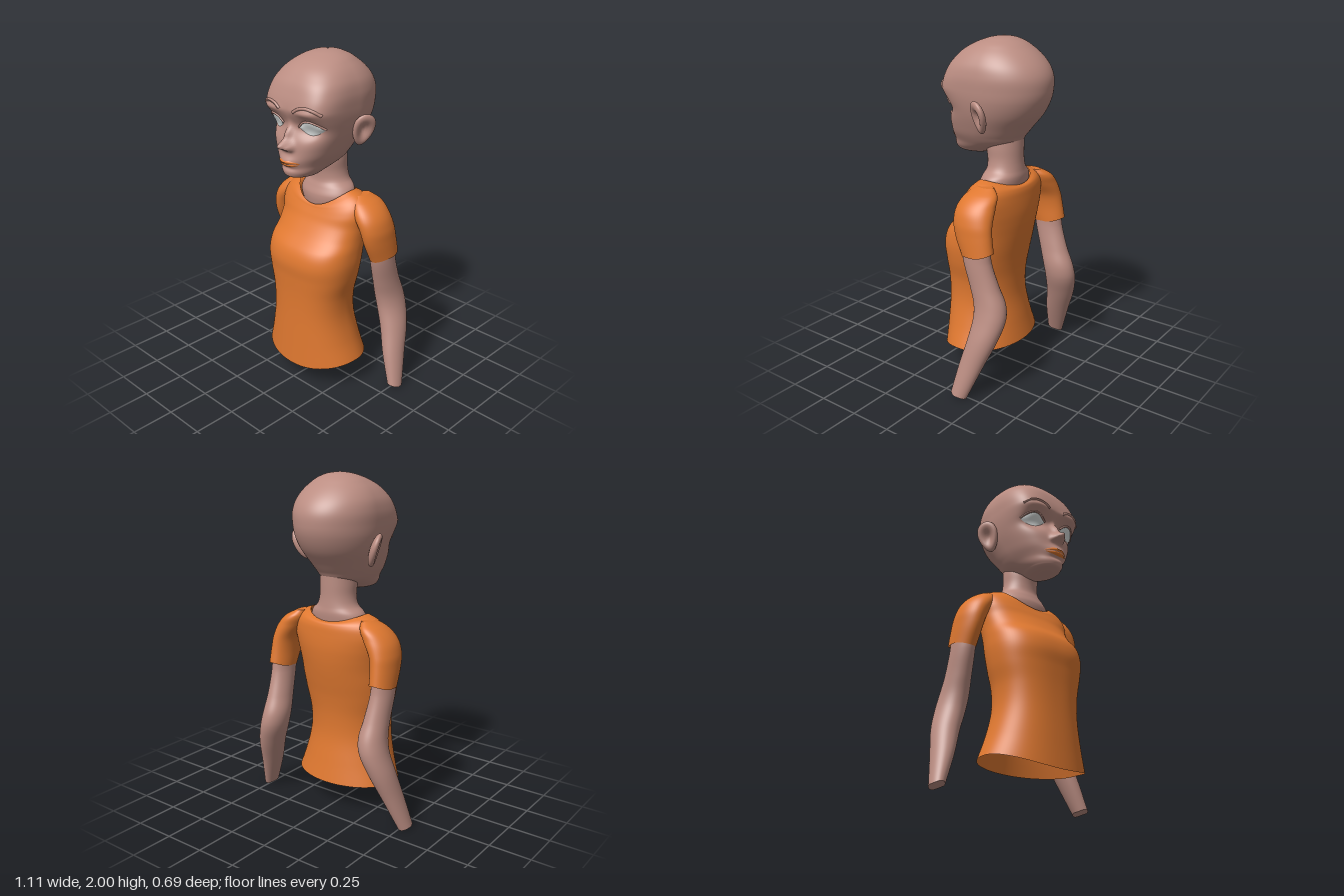
import * as THREE from 'three';

const skin = new THREE.MeshStandardMaterial({ color: 0xbb8d82 });
skin.name = 'skin';
const orange = new THREE.MeshStandardMaterial({ color: 0xdf7830, side: THREE.DoubleSide });
orange.name = 'orange cloth';
const white = new THREE.MeshStandardMaterial({ color: 0xdfe3e2 });
white.name = 'eye white';

// Section rows: [y, centre x, half width, front z, back z, front squareness, front drop, back drop]
const HEAD = [
  [1.32, 0, 0.035, 0.22, 0.10, 2, 0, 0], [1.33, 0, 0.075, 0.255, 0.05, 2, 0, 0],
  [1.35, 0, 0.10, 0.272, 0, 2.1, 0, 0], [1.40, 0, 0.14, 0.27, -0.14, 2.2, 0, 0],
  [1.45, 0, 0.172, 0.272, -0.185, 2.4, 0, 0], [1.50, 0, 0.195, 0.268, -0.225, 2.6, 0, 0],
  [1.58, 0, 0.225, 0.26, -0.29, 3, 0, 0], [1.66, 0, 0.244, 0.262, -0.33, 3.6, 0, 0],
  [1.72, 0, 0.25, 0.27, -0.343, 4, 0, 0], [1.80, 0, 0.249, 0.25, -0.337, 3.6, 0, 0],
  [1.87, 0, 0.228, 0.215, -0.295, 3, 0, 0], [1.94, 0, 0.17, 0.145, -0.215, 2.4, 0, 0],
  [1.98, 0, 0.105, 0.06, -0.145, 2, 0, 0], [1.995, 0, 0.05, 0, -0.095, 2, 0, 0],
  [2.0, 0, 0.003, -0.044, -0.05, 2, 0, 0],
];
const NECK = [
  [1.09, 0, 0.16, 0.06, -0.16, 2, 0, 0], [1.17, 0, 0.183, 0.066, -0.174, 2, 0, 0],
  [1.215, 0, 0.165, 0.05, -0.178, 2, 0, 0], [1.25, 0, 0.127, 0.038, -0.174, 2, 0, 0],
  [1.30, 0, 0.109, 0.038, -0.17, 2, 0, 0], [1.38, 0, 0.107, 0.05, -0.17, 2, 0, 0],
  [1.50, 0, 0.10, 0.03, -0.17, 2, 0, 0],
];
const SHIRT = [
  [0.175, 0, 0.33, 0.27, -0.2, 2.2, 0.06, 0], [0.30, 0, 0.288, 0.265, -0.175, 2.3, 0.03, 0],
  [0.45, 0, 0.256, 0.26, -0.15, 2.4, 0, 0], [0.58, 0, 0.258, 0.26, -0.15, 2.5, 0, 0],
  [0.70, 0, 0.285, 0.265, -0.165, 2.5, 0, 0], [0.80, 0, 0.298, 0.27, -0.185, 2.5, 0, 0],
  [0.88, 0, 0.297, 0.245, -0.2, 2.5, 0, 0], [0.95, 0, 0.295, 0.185, -0.21, 2.4, 0, 0],
  [1.02, 0, 0.30, 0.135, -0.215, 2.4, 0, 0], [1.10, 0, 0.31, 0.108, -0.212, 2.4, 0.03, 0],
  [1.17, 0, 0.28, 0.092, -0.205, 2.3, 0.07, 0.02], [1.20, 0, 0.235, 0.086, -0.195, 2.2, 0.088, 0.035],
  [1.215, 0, 0.19, 0.08, -0.18, 2, 0.097, 0.045],
];
const SLEEVE = [
  [0.84, 0.368, 0.067, -0.04, -0.24, 2, 0.02, -0.025], [0.95, 0.362, 0.07, 0.012, -0.225, 2, 0.01, -0.01],
  [1.02, 0.35, 0.076, 0.03, -0.217, 2, 0, 0], [1.10, 0.31, 0.085, 0.03, -0.206, 2, 0, 0],
  [1.16, 0.268, 0.065, 0, -0.19, 2, 0, 0], [1.195, 0.235, 0.03, -0.04, -0.15, 2, 0, 0],
];
const ARM = [
  [0.015, 0.515, 0.04, -0.06, -0.16, 2, -0.015, 0.015], [0.20, 0.457, 0.06, -0.083, -0.235, 2, 0, 0],
  [0.36, 0.41, 0.075, -0.115, -0.297, 2, 0, 0], [0.48, 0.371, 0.08, -0.125, -0.324, 2, 0, 0],
  [0.56, 0.358, 0.077, -0.115, -0.314, 2, 0, 0], [0.66, 0.36, 0.068, -0.088, -0.272, 2, 0, 0],
  [0.80, 0.367, 0.062, -0.048, -0.226, 2, 0, 0], [0.88, 0.366, 0.06, -0.035, -0.215, 2, 0, 0],
  [1.0, 0.352, 0.055, -0.01, -0.19, 2, 0, 0],
];

const sections = (rows) => {
  const f = new THREE.CubicInterpolant(rows.map((r) => r[0]), rows.flat(), 8);
  return (y) => Array.from(f.evaluate(y));
};

// Smooth skin through the sections, with optional end caps and a bump rule for the front
function loft(rows, { seg = 64, sub = 6, bottom = false, top = false, bump = null } = {}) {
  const at = sections(rows), pos = [], idx = [], levels = [];
  rows.forEach((r, i) => {
    if (i === rows.length - 1) return levels.push(r[0]);
    for (let k = 0; k < sub; k++) levels.push(r[0] + (rows[i + 1][0] - r[0]) * k / sub);
  });
  for (const level of levels) {
    const [y, cx, rx, zf, zb, n, df, db] = at(level);
    const c = (zf + zb) / 2, rz = (zf - zb) / 2;
    for (let j = 0; j < seg; j++) {
      const a = j / seg * Math.PI * 2, co = Math.cos(a), si = Math.sin(a);
      const p = si > 0 ? n : 2;
      const r = (Math.abs(co) ** p + Math.abs(si) ** p) ** (-1 / p);
      const x = cx + rx * r * co;
      let z = c + rz * r * si;
      if (bump && si > 0) z += bump(x, y) * Math.min(1, 2 * r * si);
      pos.push(x, y - (si > 0 ? df : db) * si * si, z);
    }
  }
  for (let i = 0; i < levels.length - 1; i++) {
    for (let j = 0; j < seg; j++) {
      const a = i * seg + j, b = i * seg + (j + 1) % seg, c = a + seg, d = b + seg;
      idx.push(a, c, b, b, c, d);
    }
  }
  const cap = (row, up) => {
    const start = pos.length / 3, mid = [0, 0, 0];
    for (let j = 0; j < seg; j++) {
      for (let k = 0; k < 3; k++) {
        const v = pos[(row * seg + j) * 3 + k];
        pos.push(v);
        mid[k] += v / seg;
      }
    }
    pos.push(...mid);
    for (let j = 0; j < seg; j++) {
      const p = start + j, q = start + (j + 1) % seg;
      idx.push(start + seg, up ? q : p, up ? p : q);
    }
  };
  if (bottom) cap(0, false);
  if (top) cap(levels.length - 1, true);
  return finish(pos, idx);
}

function finish(pos, idx) {
  const g = new THREE.BufferGeometry();
  g.setAttribute('position', new THREE.Float32BufferAttribute(pos, 3));
  g.setIndex(idx);
  g.computeVertexNormals();
  return g;
}

function mirror(geo) {
  const g = geo.clone().scale(-1, 1, 1), ix = g.index.array;
  for (let i = 0; i < ix.length; i += 3) [ix[i], ix[i + 1]] = [ix[i + 1], ix[i]];
  g.computeVertexNormals();
  return g;
}

// Face relief: sockets, brow, nose, lips
const hill = (x, y, cx, cy, sx, sy) => Math.exp(-(((x - cx) / sx) ** 2) - ((y - cy) / sy) ** 2);
function face(x, y) {
  const ax = Math.abs(x);
  return 0.07 * hill(x, y, 0, 1.52, 0.034, 0.027) + 0.03 * hill(x, y, 0, 1.58, 0.022, 0.05)
    + 0.025 * hill(ax, y, 0.034, 1.505, 0.016, 0.016)
    - 0.05 * hill(ax, y, 0.13, 1.615, 0.08, 0.05) - 0.017 * hill(x, y, 0, 1.63, 0.06, 0.04)
    + 0.01 * hill(ax, y, 0.13, 1.71, 0.08, 0.02)
    + 0.022 * hill(x, y, 0, 1.425, 0.065, 0.03) - 0.01 * hill(x, y, 0, 1.385, 0.05, 0.012);
}
const headAt = sections(HEAD);
function headZ(x, y) {
  const [, , rx, zf, zb, n] = headAt(y), c = (zf + zb) / 2;
  const w = Math.max(0, 1 - Math.abs(x / rx) ** n) ** (1 / n);
  return c + (zf - c) * w + face(x, y) * Math.min(1, 2 * w);
}

// Thin patch that follows the face between a lower and an upper curve
function patch(x0, x1, low, high, lift, bulge) {
  const nu = 24, nv = 10, pos = [], idx = [];
  for (let i = 0; i <= nv; i++) {
    for (let j = 0; j <= nu; j++) {
      const u = j / nu, v = i / nv, x = x0 + (x1 - x0) * u;
      const y = low(u) + (high(u) - low(u)) * v;
      pos.push(x, y, headZ(x, y) + lift + bulge * Math.sin(Math.PI * u) * Math.sin(Math.PI * v));
      if (i < nv && j < nu) {
        const a = i * (nu + 1) + j, c = a + nu + 1;
        idx.push(a, a + 1, c + 1, a, c + 1, c);
      }
    }
  }
  return finish(pos, idx);
}

// Fine ridge laid along the face
function ridge(points, radius, lift) {
  const curve = new THREE.CatmullRomCurve3(points.map(([x, y]) => new THREE.Vector3(x, y, headZ(x, y) + lift)));
  return new THREE.TubeGeometry(curve, 24, radius, 8);
}

// Cupped ear, wider at the top
function earGeometry() {
  const g = new THREE.SphereGeometry(1, 32, 24), p = g.attributes.position;
  for (let i = 0; i < p.count; i++) {
    const x = p.getX(i), y = p.getY(i), z = p.getZ(i);
    const dent = x > 0 ? 1 - 1.3 * Math.exp(-3 * (y * y + z * z)) : 1;
    p.setXYZ(i, x * dent * 0.032, y * 0.098, z * (1 + 0.25 * y) * 0.063);
  }
  g.rotateY(-0.45).rotateZ(-0.33).translate(0.256, 1.585, -0.065);
  g.computeVertexNormals();
  return g;
}

export function createModel() {
  const model = new THREE.Group();
  const add = (name, geo, mat) => {
    const m = new THREE.Mesh(geo, mat);
    m.name = name;
    model.add(m);
  };
  const pair = (name, geo, mat) => {
    add('left' + name, geo, mat);
    add('right' + name, mirror(geo), mat);
  };

  add('head', loft(HEAD, { seg: 160, sub: 9, bottom: true, bump: face }), skin);
  add('neck', loft(NECK), skin);
  add('shirt', loft(SHIRT, { seg: 96 }), orange);
  pair('Sleeve', loft(SLEEVE, { seg: 48, top: true }), orange);
  pair('Arm', loft(ARM, { seg: 48, bottom: true, top: true }), skin);
  pair('Ear', earGeometry(), skin);

  // Almond eyes with upper lids and brows
  const arc = (u) => Math.sin(Math.PI * u);
  const lid = (u) => 1.622 + 0.042 * arc(u) ** 0.8;
  pair('Eye', patch(0.063, 0.202, (u) => 1.622 - 0.036 * arc(u) ** 0.9, lid, 0.004, 0.018), white);
  pair('Eyelid', ridge([0, 0.2, 0.4, 0.6, 0.8, 1].map((u) => [0.06 + 0.145 * u, lid(u) + 0.003]), 0.006, 0.005), skin);
  pair('Brow', ridge([[0.052, 1.712], [0.085, 1.733], [0.13, 1.743], [0.175, 1.735], [0.215, 1.71]], 0.009, 0), skin);

  // Lips
  const bow = (u) => 1.42 + 0.018 * arc(u) ** 0.6 - 0.005 * Math.exp(-(((u - 0.5) / 0.08) ** 2));
  add('upperLip', patch(-0.083, 0.083, () => 1.419, bow, 0.003, 0.004), orange);
  add('lowerLip', patch(-0.078, 0.078, (u) => 1.415 - 0.019 * arc(u) ** 0.7, () => 1.415, 0.003, 0.005), orange);
  return model;
}
